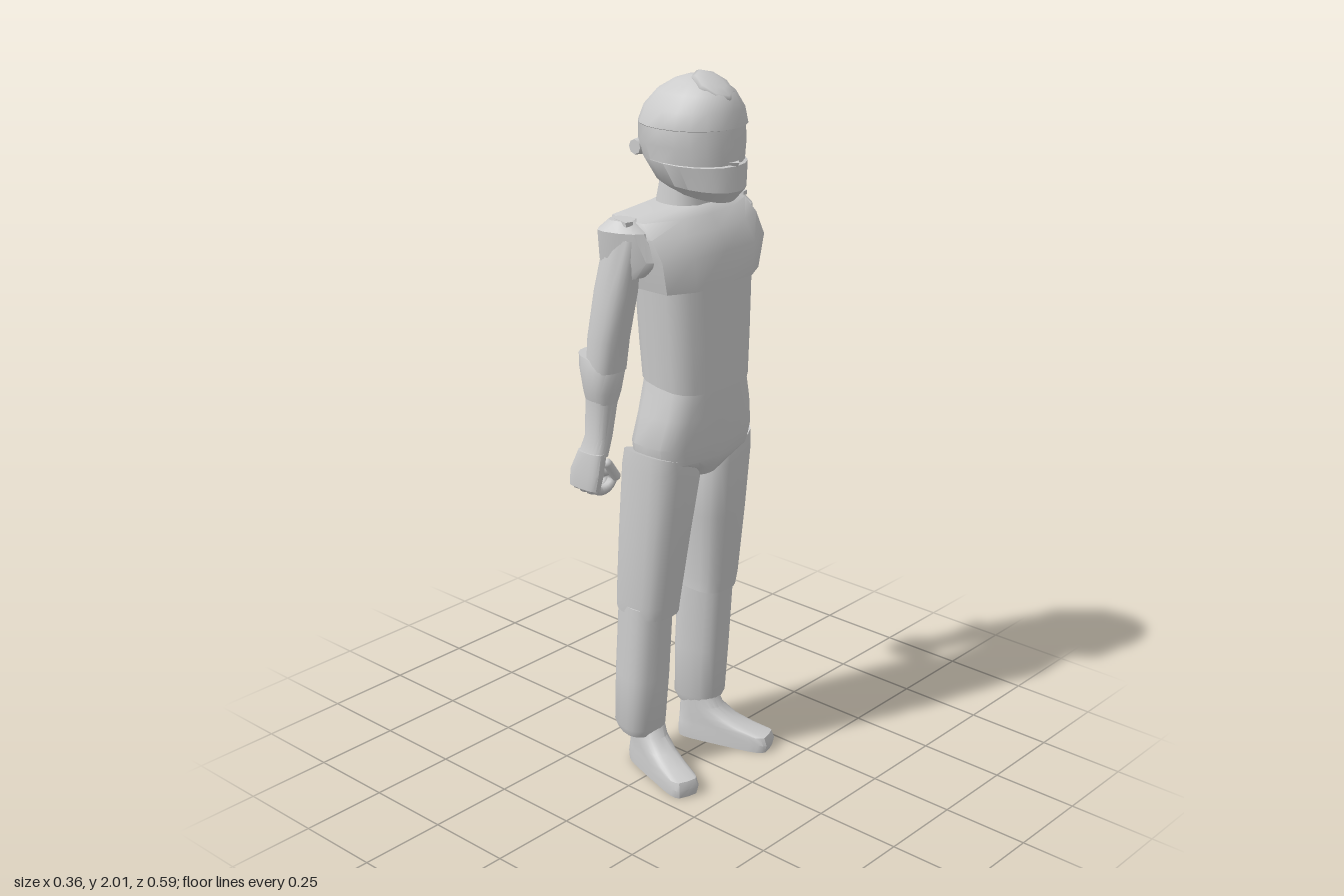
import * as THREE from 'three';
import { toCreasedNormals } from 'three/addons/utils/BufferGeometryUtils.js';

// Closed skin through rings of [x, y, z] points, listed bottom to top
function loft(rings, crease = 0.6) {
  const n = rings[0].length, pos = rings.flat(2), idx = [];
  for (let r = 0; r < rings.length - 1; r++) {
    for (let i = 0; i < n; i++) {
      const a = r * n + i, a1 = r * n + (i + 1) % n;
      idx.push(a, a + n, a1, a + n, a1 + n, a1);
    }
  }
  [0, rings.length - 1].forEach((r, top) => {
    const c = pos.length / 3;
    for (let k = 0; k < 3; k++) pos.push(rings[r].reduce((s, p) => s + p[k], 0) / n);
    for (let i = 0; i < n; i++) {
      const a = r * n + i, b = r * n + (i + 1) % n;
      idx.push(c, top ? b : a, top ? a : b);
    }
  });
  const g = new THREE.BufferGeometry();
  g.setAttribute('position', new THREE.Float32BufferAttribute(pos, 3));
  g.setIndex(idx);
  return toCreasedNormals(g, crease);
}

// Rounded ring from its extents: y, back, front, zMin, zMax, squareness, slope along x, slope along z
function ring([y, x0, x1, z0, z1, n = 2.4, tilt = 0, roll = 0], seg = 20) {
  const pts = [];
  for (let i = 0; i < seg; i++) {
    const t = (i / seg) * Math.PI * 2, c = Math.cos(t), s = Math.sin(t);
    const dx = Math.sign(c) * Math.abs(c) ** (2 / n) * (x1 - x0) / 2;
    const dz = Math.sign(s) * Math.abs(s) ** (2 / n) * (z1 - z0) / 2;
    pts.push([(x0 + x1) / 2 + dx, y + dx * tilt + dz * roll, (z0 + z1) / 2 + dz]);
  }
  return pts;
}
const tower = (rows, crease) => loft(rows.map(r => ring(r)), crease);

// Symmetric ring from a half outline of [x, z], front to back
const outline = (y, half) => [
  ...half.map(([x, z]) => [x, y, z]),
  ...half.slice(1, -1).reverse().map(([x, z]) => [x, y, -z]),
];

// Copy reflected in z, with its triangles turned to face outward again
function reflect(geo) {
  const g = geo.index ? geo.toNonIndexed() : geo.clone();
  g.scale(1, 1, -1);
  for (const a of Object.values(g.attributes)) {
    for (let i = 0; i < a.count; i += 3) {
      for (let k = 0; k < a.itemSize; k++) {
        const v = a.getComponent(i + 1, k);
        a.setComponent(i + 1, k, a.getComponent(i + 2, k));
        a.setComponent(i + 2, k, v);
      }
    }
  }
  return g;
}

// Turn a geometry about a vertical axis through (x, z)
const turn = (geo, angle, x, z) => geo.translate(-x, 0, -z).rotateY(angle).translate(x, 0, z);

export function createModel() {
  const model = new THREE.Group();
  const grey = new THREE.MeshStandardMaterial({ color: 0xcccccc });
  grey.name = 'plainGrey';
  const add = (name, geo) => {
    const m = new THREE.Mesh(geo, grey);
    m.name = name;
    model.add(m);
  };
  const addPair = (name, geo) => {
    add(name + 'A', geo);
    add(name + 'B', reflect(geo));
  };

  // Helmet with a stepped-in visor band
  add('helmet', tower([
    [1.695, -0.06, 0.15, -0.06, 0.06, 2.2, -0.12],
    [1.725, -0.085, 0.177, -0.1, 0.1, 2.1, -0.08],
    [1.785, -0.12, 0.172, -0.122, 0.122, 2.1, -0.03],
    [1.787, -0.12, 0.162, -0.121, 0.121, 2.1, -0.03],
    [1.83, -0.13, 0.163, -0.13, 0.13, 2.1],
    [1.875, -0.127, 0.16, -0.131, 0.131, 2.1],
    [1.877, -0.127, 0.167, -0.134, 0.134, 2.1],
    [1.92, -0.11, 0.16, -0.122, 0.122, 2.1],
    [1.96, -0.075, 0.14, -0.092, 0.092, 2.1],
    [1.987, -0.03, 0.105, -0.055, 0.055, 2],
    [2.0, 0.01, 0.06, -0.02, 0.02, 2],
  ]));
  // Raised brow vent
  const vent = new THREE.SphereGeometry(1, 8, 6).scale(0.066, 0.016, 0.055);
  add('browVent', vent.rotateZ(-0.5).translate(0.09, 1.978, 0));
  // Breathing ridge below the visor
  add('chinVent', new THREE.ConeGeometry(0.03, 0.05, 4).rotateX(Math.PI).translate(0.15, 1.765, 0));
  // Visor hinges
  const hinge = new THREE.CylinderGeometry(0.02, 0.026, 0.04, 8).rotateX(Math.PI / 2);
  addPair('visorHinge', hinge.translate(-0.088, 1.81, 0.087));

  // Neck
  add('neck', tower([
    [1.6, -0.09, 0.075, -0.085, 0.085],
    [1.66, -0.08, 0.065, -0.076, 0.076],
    [1.73, -0.065, 0.06, -0.07, 0.07],
  ]));

  // Chest armour
  add('chestArmour', loft([
    outline(1.46, [[0.137, 0], [0.134, 0.11], [0.095, 0.183], [0, 0.185], [-0.07, 0.16], [-0.1, 0]]),
    outline(1.55, [[0.138, 0], [0.134, 0.12], [0.097, 0.203], [0, 0.207], [-0.1, 0.185], [-0.12, 0]]),
    outline(1.605, [[0.112, 0], [0.1, 0.12], [0.065, 0.207], [0, 0.22], [-0.11, 0.19], [-0.14, 0]]),
    outline(1.642, [[0.085, 0], [0.075, 0.1], [0.03, 0.2], [-0.03, 0.212], [-0.1, 0.18], [-0.125, 0]]),
    outline(1.665, [[0.065, 0], [0.055, 0.06], [0.02, 0.08], [-0.03, 0.08], [-0.07, 0.07], [-0.09, 0]]),
  ], 0.9));

  // Waist and hips
  add('waist', tower([
    [1.185, -0.074, 0.136, -0.152, 0.152, 3, -0.15],
    [1.3, -0.08, 0.136, -0.16, 0.16, 3, -0.05],
    [1.47, -0.085, 0.132, -0.172, 0.172, 3],
  ]));
  add('hips', tower([
    [0.912, -0.04, 0.085, -0.045, 0.045, 3],
    [0.945, -0.07, 0.11, -0.085, 0.085, 3],
    [0.972, -0.09, 0.118, -0.175, 0.175, 3],
    [1.02, -0.088, 0.122, -0.186, 0.186, 3],
    [1.1, -0.078, 0.13, -0.168, 0.168, 3],
    [1.19, -0.07, 0.132, -0.147, 0.147, 3, -0.15],
  ]));

  // Shoulder pads, swept back, with a small lug on top
  const pad = loft([
    [1.49, -0.08, 0.035, 0.17, 0.24, 3, 0.2],
    [1.545, -0.1, 0.085, 0.165, 0.25, 2.6],
    [1.62, -0.1, 0.045, 0.165, 0.258, 2.6],
    [1.647, -0.07, 0.0, 0.18, 0.238, 2.6],
  ].map(r => ring(r, 12)), 0.5);
  addPair('shoulderPad', turn(pad, 0.35, -0.03, 0.212));
  const lug = new THREE.BoxGeometry(0.055, 0.012, 0.022).rotateY(-0.25);
  addPair('shoulderLug', lug.translate(-0.02, 1.642, 0.222));

  // Arms
  addPair('upperArm', tower([
    [1.23, -0.137, -0.04, 0.17, 0.279],
    [1.32, -0.132, -0.025, 0.17, 0.278],
    [1.45, -0.115, 0.003, 0.168, 0.267],
    [1.6, -0.085, 0.03, 0.175, 0.25],
  ]));
  addPair('elbowGuard', tower([
    [1.14, -0.14, -0.055, 0.195, 0.272],
    [1.17, -0.145, -0.05, 0.182, 0.28],
    [1.235, -0.16, -0.043, 0.167, 0.285, 2.4, -0.1],
    [1.265, -0.165, -0.055, 0.175, 0.278, 2.4, -0.15],
  ]));
  addPair('forearm', tower([
    [0.99, -0.155, -0.065, 0.228, 0.286],
    [1.04, -0.145, -0.068, 0.208, 0.27],
    [1.17, -0.14, -0.053, 0.19, 0.275],
  ]));

  // Half-closed hands
  addPair('palm', tower([
    [0.895, -0.178, -0.075, 0.258, 0.294, 3],
    [0.94, -0.175, -0.065, 0.25, 0.295, 3],
    [1.0, -0.153, -0.066, 0.235, 0.287, 2.6],
  ]));
  for (let i = 0; i < 4; i++) {
    const x = -0.163 + i * 0.025, y = 0.004 * Math.abs(i - 1.5);
    const path = [[0.91, 0.276], [0.886, 0.268], [0.884, 0.228], [0.905, 0.207], [0.93, 0.217], [0.935, 0.252]]
      .map(([py, pz]) => new THREE.Vector3(x, py + y, pz));
    addPair('finger' + (i + 1), new THREE.TubeGeometry(new THREE.CatmullRomCurve3(path), 12, 0.014, 6));
  }
  const thumb = new THREE.CapsuleGeometry(0.014, 0.055, 3, 8).rotateX(0.6);
  addPair('thumb', thumb.translate(-0.073, 0.945, 0.226));

  // Legs, shins turned outward with the feet
  addPair('thigh', tower([
    [0.505, -0.124, 0.045, 0.05, 0.194, 2.8, -0.06],
    [0.54, -0.123, 0.052, 0.05, 0.197, 2.8],
    [0.75, -0.112, 0.078, 0.03, 0.2, 2.8],
    [0.93, -0.1, 0.1, 0.014, 0.2, 2.8, 0, 0.25],
    [0.975, -0.09, 0.098, 0.025, 0.198, 2.8, 0, 0.3],
  ]));
  const shin = tower([
    [0.115, -0.125, -0.005, 0.075, 0.188, 2.6],
    [0.14, -0.138, 0.007, 0.067, 0.198, 2.6],
    [0.3, -0.134, 0.02, 0.06, 0.197, 2.6],
    [0.53, -0.121, 0.036, 0.056, 0.192, 2.6],
  ]);
  addPair('shin', turn(shin, -0.28, -0.055, 0.128));

  // Shoes with square toes turned outward
  const shoe = tower([
    [0, -0.06, 0.225, -0.045, 0.043, 5],
    [0.025, -0.06, 0.23, -0.045, 0.043, 6],
    [0.047, -0.06, 0.222, -0.044, 0.042, 5],
    [0.06, -0.06, 0.17, -0.044, 0.042, 4],
    [0.08, -0.06, 0.115, -0.044, 0.042, 3],
    [0.11, -0.06, 0.07, -0.043, 0.043, 2.5],
    [0.15, -0.055, 0.05, -0.042, 0.042, 2.4],
  ]);
  addPair('shoe', shoe.rotateY(-0.3).translate(-0.05, 0, 0.114));

  return model;
}
